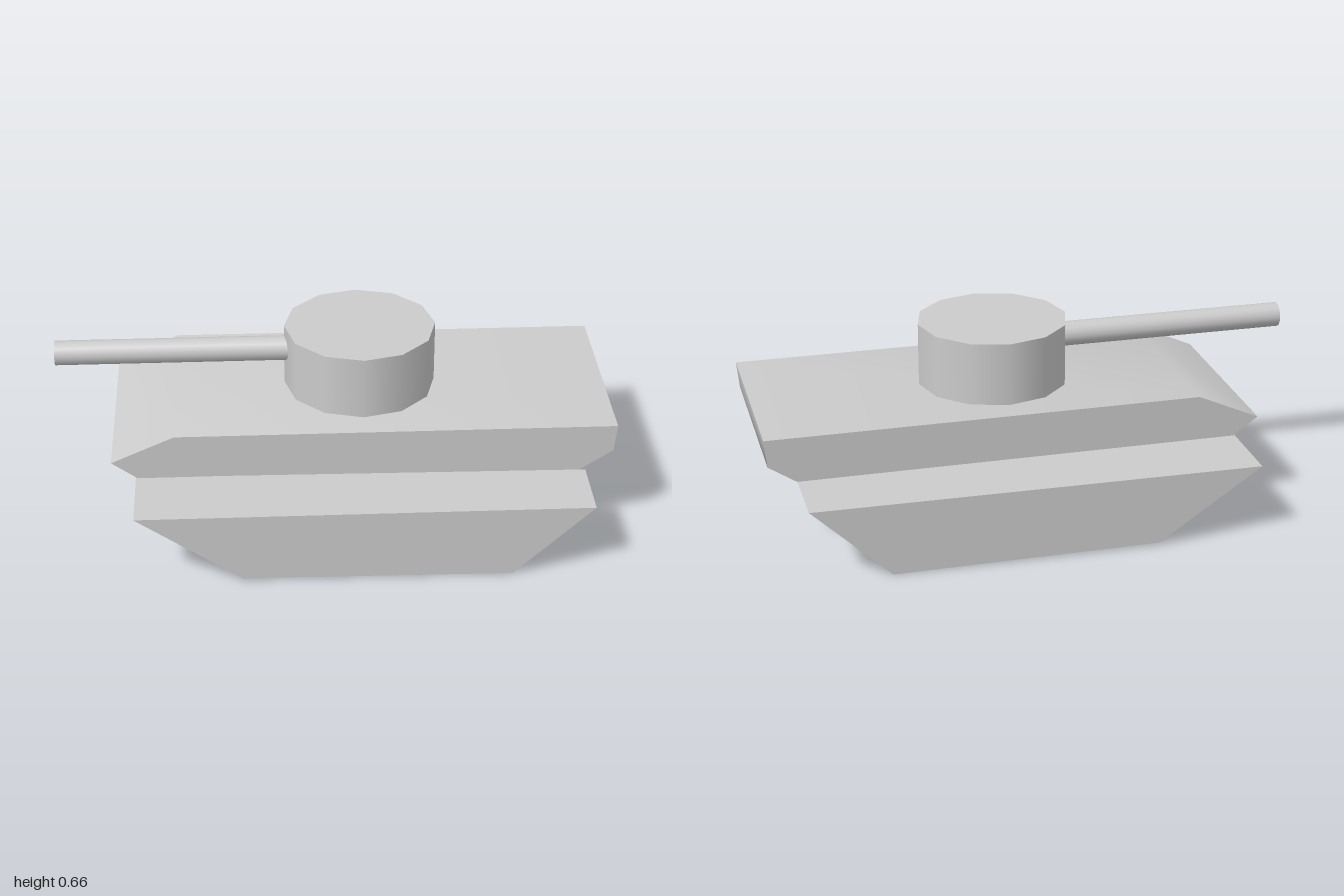
import * as THREE from 'three';
import { toCreasedNormals } from 'three/addons/utils/BufferGeometryUtils.js';

const material = new THREE.MeshStandardMaterial({ color: 0xcccccc });

// Side profile in x/y, extruded along z from zMin to zMax
function slab(points, zMin, zMax) {
  const shape = new THREE.Shape(points.map(([x, y]) => new THREE.Vector2(x, y)));
  const geometry = new THREE.ExtrudeGeometry(shape, { depth: zMax - zMin, bevelEnabled: false });
  return geometry.translate(0, 0, zMin);
}

export function createModel() {
  const model = new THREE.Group();
  const add = (name, geometry) => {
    const mesh = new THREE.Mesh(geometry, material);
    mesh.name = name;
    model.add(mesh);
    return mesh;
  };

  // Hull with a pointed nose towards -x and a sloped underside
  const hullProfile = [[-0.5, 0.12], [0.67, 0.12], [0.99, 0.33], [1, 0.43], [-0.57, 0.43], [-0.795, 0.33]];
  add('hull', toCreasedNormals(slab(hullProfile, -0.375, 0.38), 0.9));

  // Track blocks; the face at lower z drifts slightly towards the rear
  const trackProfile = [[-0.34, 0.01], [0.61, 0], [0.89, 0.265], [-0.71, 0.265]];
  for (const [name, zMin, zMax] of [['leftTrack', 0.375, 0.65], ['rightTrack', -0.655, -0.37]]) {
    const geometry = slab(trackProfile, zMin, zMax);
    const p = geometry.attributes.position;
    for (let i = 0; i < p.count; i++) {
      if (p.getZ(i) < zMin + 0.01) p.setZ(i, zMin + 0.025 * (p.getX(i) + 0.71) / 1.6);
    }
    geometry.computeVertexNormals();
    add(name, geometry);
  }

  // Twelve-sided turret
  add('turret', new THREE.CylinderGeometry(0.275, 0.275, 0.23, 12)).position.set(0.105, 0.545, 0);

  // Gun barrel, running into the turret
  const barrel = add('barrel', new THREE.CylinderGeometry(0.045, 0.045, 0.87, 16));
  barrel.rotation.z = Math.PI / 2;
  barrel.position.set(-0.565, 0.573, 0.004);

  return model;
}
